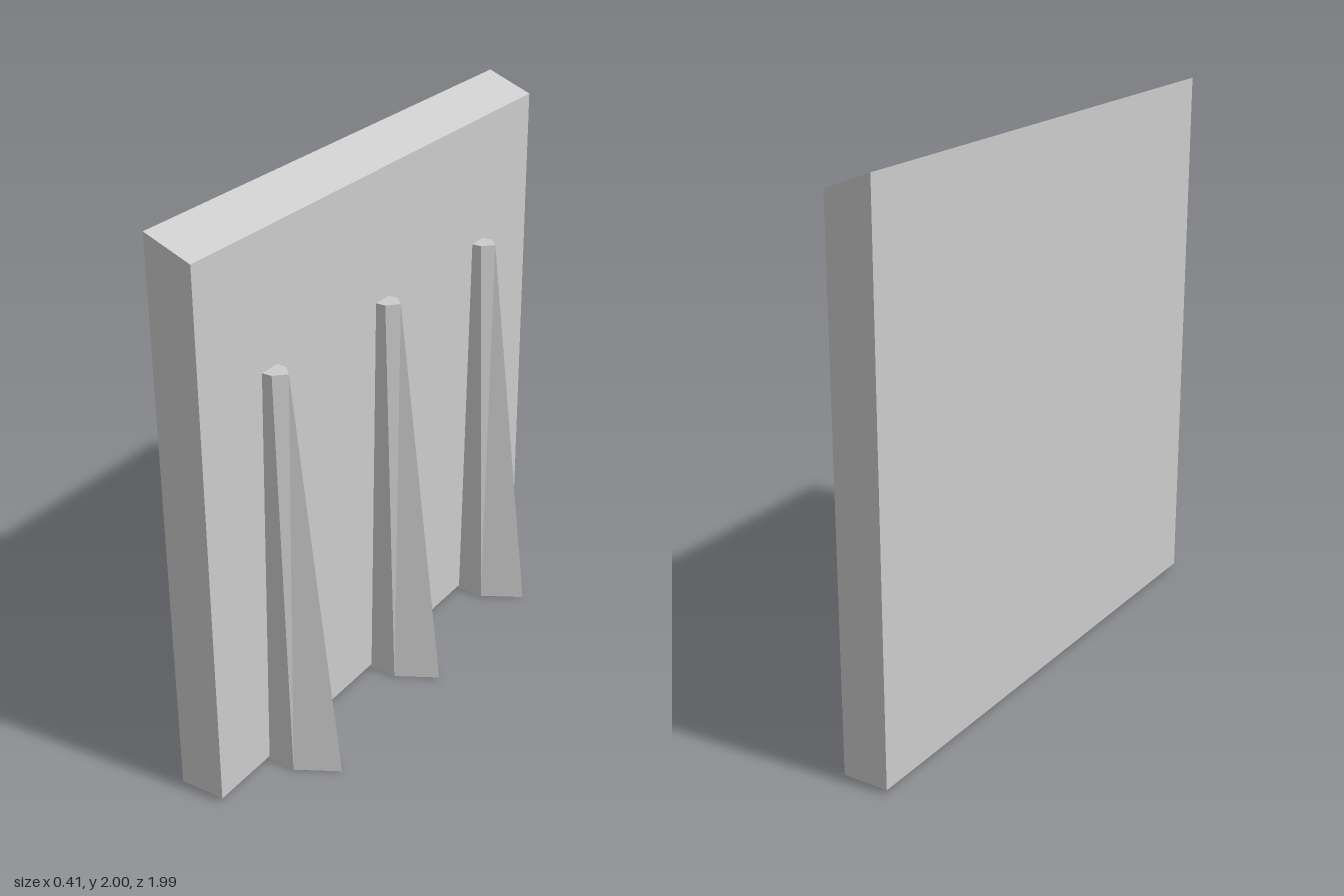
import * as THREE from 'three';

const material = new THREE.MeshStandardMaterial({ color: 0xcccccc, flatShading: true });

// Slab with a sloping top, extruded along z
function createWall() {
  const shape = new THREE.Shape([
    new THREE.Vector2(-0.21, 0.015),
    new THREE.Vector2(-0.042, 0.015),
    new THREE.Vector2(-0.042, 1.935),
    new THREE.Vector2(-0.21, 2),
  ]);
  const geometry = new THREE.ExtrudeGeometry(shape, { depth: 1.99, bevelEnabled: false });
  geometry.translate(0, 0, -1);
  const wall = new THREE.Mesh(geometry, material);
  wall.name = 'wall';
  return wall;
}

// Pointed five-sided section (back, shoulder, tip) at height y
function section(y, back, shoulder, tip, half) {
  return [[back, half], [shoulder, half], [tip, 0], [shoulder, -half], [back, -half]]
    .map(([x, z]) => [x, y, z]);
}

// Tapering buttress lofted between a wide foot and a narrow head
function createButtressGeometry() {
  const foot = section(0, -0.05, 0.06, 0.205, 0.083);
  const head = section(1.47, -0.045, -0.005, 0.032, 0.039);
  const n = foot.length;
  const positions = [];
  const triangle = (...corners) => corners.forEach((c) => positions.push(...c));
  for (let i = 0; i < n; i++) {
    const j = (i + 1) % n;
    triangle(foot[i], foot[j], head[j]);
    triangle(foot[i], head[j], head[i]);
  }
  for (let i = 1; i < n - 1; i++) {
    triangle(head[0], head[i], head[i + 1]);
    triangle(foot[0], foot[i + 1], foot[i]);
  }
  const geometry = new THREE.BufferGeometry();
  geometry.setAttribute('position', new THREE.Float32BufferAttribute(positions, 3));
  geometry.computeVertexNormals();
  return geometry;
}

export function createModel() {
  const model = new THREE.Group();
  model.name = 'buttressedWall';
  model.add(createWall());

  // Three evenly spaced buttresses
  const geometry = createButtressGeometry();
  for (let i = -1; i <= 1; i++) {
    const buttress = new THREE.Mesh(geometry, material);
    buttress.name = `buttress${i + 2}`;
    buttress.position.z = i * 0.642;
    model.add(buttress);
  }
  return model;
}
